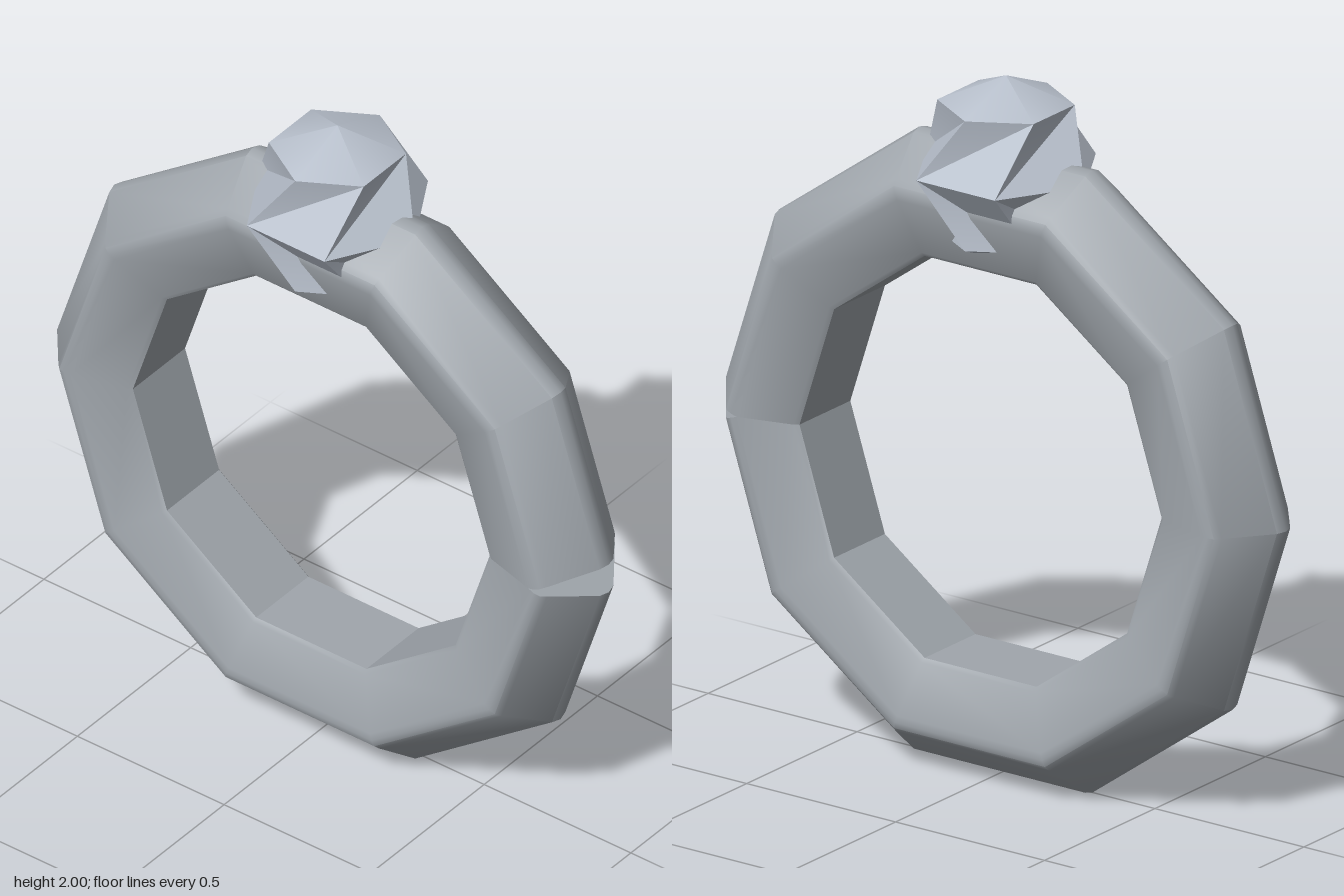
import * as THREE from 'three';
import { toCreasedNormals } from 'three/addons/utils/BufferGeometryUtils.js';

const CREASE = 0.58;

function fromTriangles(triangles) {
  const geometry = new THREE.BufferGeometry().setFromPoints(triangles.flat());
  return toCreasedNormals(geometry, CREASE);
}

// Ten-sided band: a tapered section with a pointed outer ridge, swept around z
function bandGeometry() {
  const sides = 10, pivot = 0.78, step = (Math.PI * 2) / sides;
  // half section as [radius, z], from ridge to bore
  const half = [[0.94, 0], [0.932, 0.03], [0.835, 0.15], [0.82, 0.165], [0.8, 0.17],
    [0.78, 0.168], [0.62, 0.125], [0.608, 0.115]];
  const section = [...half, ...half.slice(1).reverse().map(([r, z]) => [r, -z])];
  const n = section.length;

  const rings = [];
  for (let i = 0; i <= sides; i++) {
    const a = i * step;
    rings.push(section.map(([r, z]) => {
      if (i > 0 && i < sides) return new THREE.Vector3(r * Math.cos(a), r * Math.sin(a), z);
      // the two open ends are cut square, leaving a wedge-shaped gap
      const tilt = (i === 0 ? 1 : -1) * step / 2;
      const d = (r - pivot) * Math.cos(step / 2);
      return new THREE.Vector3(pivot + d * Math.cos(tilt), d * Math.sin(tilt), z);
    }));
  }

  const triangles = [];
  for (let i = 0; i < sides; i++) {
    for (let j = 0; j < n; j++) {
      const k = (j + 1) % n;
      const a = rings[i][j], b = rings[i + 1][j], c = rings[i + 1][k], d = rings[i][k];
      triangles.push([a, b, d], [b, c, d]);
    }
  }
  // end caps
  const first = rings[0], last = rings[sides];
  for (let j = 1; j < n - 1; j++) {
    triangles.push([first[0], first[j], first[j + 1]], [last[0], last[j + 1], last[j]]);
  }
  return fromTriangles(triangles);
}

// Six-sided stone whose facets twist like a pinwheel, mirrored above and below
function stoneGeometry() {
  const R = 0.264, s = R * Math.SQRT1_2;
  const point = (degrees, radius, y) => {
    const a = THREE.MathUtils.degToRad(degrees);
    return new THREE.Vector3(radius * Math.cos(a), y, radius * Math.sin(a));
  };
  const triangles = [];
  for (const side of [1, -1]) {
    const add = (a, b, c) => triangles.push(side > 0 ? [a, b, c] : [a, c, b]);
    const tip = new THREE.Vector3(0, side * R, 0);
    for (let k = 0; k < 6; k++) {
      const a = 60 * k;
      const t0 = point(a + 30, s, side * s), t1 = point(a + 90, s, side * s);
      const m0 = point(a + 60, R, 0), m1 = point(a + 120, R, 0);
      add(tip, t1, t0);
      add(t0, t1, m1);
      add(m1, m0, t0);
    }
  }
  return fromTriangles(triangles);
}

export function createModel() {
  const model = new THREE.Group();
  model.name = 'ring';

  const metal = new THREE.MeshStandardMaterial({ color: 0xa0a6ac });
  metal.name = 'grey metal';
  const crystal = new THREE.MeshStandardMaterial({ color: 0xb8c0cc });
  crystal.name = 'pale stone';

  const band = new THREE.Mesh(bandGeometry(), metal);
  band.name = 'band';
  band.position.y = 0.895;

  const stone = new THREE.Mesh(stoneGeometry(), crystal);
  stone.name = 'stone';
  stone.position.y = 1.736;

  model.add(band, stone);
  return model;
}
